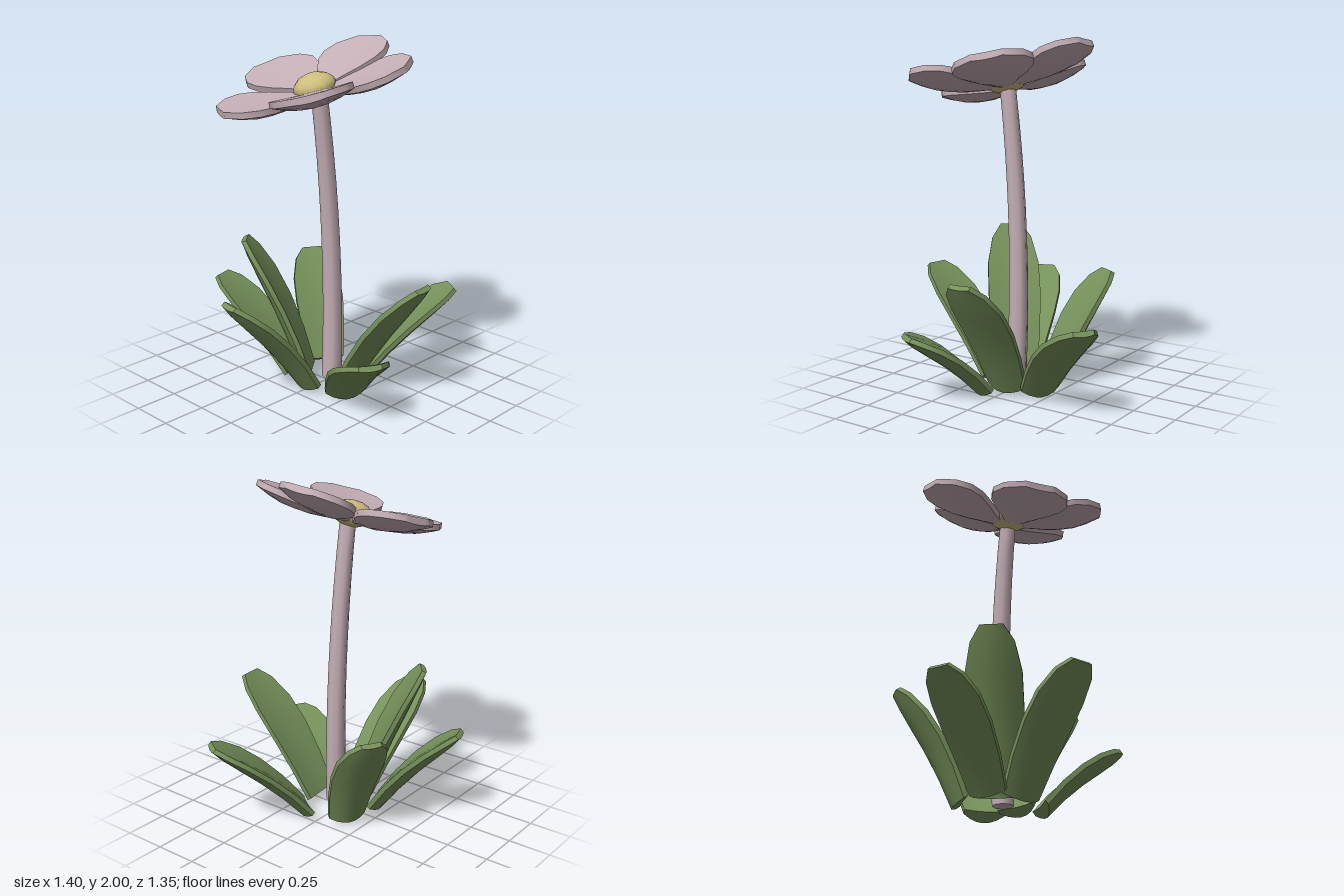
import * as THREE from 'three';
import { toCreasedNormals } from 'three/addons/utils/BufferGeometryUtils.js';

const pinkMat = new THREE.MeshStandardMaterial({ color: 0xc4aeb6 });
const greenMat = new THREE.MeshStandardMaterial({ color: 0x76915b });
const yellowMat = new THREE.MeshStandardMaterial({ color: 0xcdbd7c });
pinkMat.name = 'dusty pink';
greenMat.name = 'leaf green';
yellowMat.name = 'pollen yellow';

// Blade along +x: rows of [distance, half width, belly], nearly flat on top (edges
// raised by cup), with a rim and a rounded underside; arch raises the middle.
function blade(rows, { rim, cup, arch }) {
  const cols = 6, last = rows.length - 1, pos = [];
  const maxW = Math.max(...rows.map((r) => r[1]));
  const length = rows[last][0];
  const point = (i, j, bottom) => {
    const [x, w, belly] = rows[i];
    const v = 2 * j / cols - 1;
    const mid = 4 * (x / length) * (1 - x / length);
    const drop = bottom ? rim + belly * (1 - v * v) : 0;
    return [x, arch * mid + cup * (v * w / maxW) ** 2 - drop, v * w];
  };
  const quad = (a, b, c, d) => pos.push(...a, ...b, ...c, ...a, ...c, ...d);
  for (let i = 0; i < last; i++) {
    for (let j = 0; j < cols; j++) {
      quad(point(i, j), point(i, j + 1), point(i + 1, j + 1), point(i + 1, j));
      quad(point(i, j, true), point(i + 1, j, true), point(i + 1, j + 1, true), point(i, j + 1, true));
    }
  }
  // rim around the outline
  const edge = [];
  for (let j = 0; j < cols; j++) edge.push([0, j]);
  for (let i = 0; i < last; i++) edge.push([i, cols]);
  for (let j = cols; j > 0; j--) edge.push([last, j]);
  for (let i = last; i > 0; i--) edge.push([i, 0]);
  edge.forEach(([i, j], k) => {
    const [m, n] = edge[(k + 1) % edge.length];
    quad(point(i, j), point(i, j, true), point(m, n, true), point(m, n));
  });
  const geo = new THREE.BufferGeometry();
  geo.setAttribute('position', new THREE.Float32BufferAttribute(pos, 3));
  return toCreasedNormals(geo, 0.75);
}

// Leaf from base to tip, arching outwards, flat side up.
function makeLeaf(base, tip, width) {
  const from = new THREE.Vector3(...base);
  const along = new THREE.Vector3(...tip).sub(from);
  const length = along.length();
  along.normalize();
  const side = along.clone().cross(new THREE.Vector3(0, 1, 0)).normalize();
  const up = side.clone().cross(along);
  const rows = [
    [0, 0.38, 0.04], [0.25, 0.45, 0.045], [0.5, 0.5, 0.045],
    [0.72, 0.49, 0.04], [0.9, 0.38, 0.025], [1, 0.2, 0.005],
  ].map(([t, w, belly]) => [t * length, w * width, belly]);
  const geo = blade(rows, { rim: 0.028, cup: 0.015, arch: 0.035 });
  geo.translate(0, 0.02, 0);
  geo.applyMatrix4(new THREE.Matrix4().makeBasis(along, up, side).setPosition(from));
  return new THREE.Mesh(geo, greenMat);
}

export function createModel() {
  const model = new THREE.Group();
  model.name = 'flower plant';

  // Rosette of leaves: base, tip, width
  const leaves = new THREE.Group();
  leaves.name = 'leaves';
  [
    [[0.21, 0.045, 0.1], [0.67, 0.51, 0.4], 0.3],
    [[0.02, 0.045, 0.16], [0.07, 0.72, 0.66], 0.31],
    [[-0.09, 0.04, 0.24], [-0.32, 0.38, 0.63], 0.32],
    [[-0.17, 0.045, 0], [-0.68, 0.63, -0.08], 0.3],
    [[-0.1, 0.045, -0.18], [-0.24, 0.56, -0.66], 0.28],
    [[-0.07, 0.05, -0.08], [-0.31, 0.87, -0.36], 0.31],
    [[0.14, 0.045, -0.15], [0.33, 0.64, -0.46], 0.29],
  ].forEach((args, i) => {
    const leaf = makeLeaf(...args);
    leaf.name = 'leaf' + (i + 1);
    leaves.add(leaf);
  });
  model.add(leaves);

  // Tapered stem, bent to the side near the top
  const stemGeo = new THREE.CylinderGeometry(0.046, 0.059, 1.69, 8, 10);
  stemGeo.translate(0, 0.885, 0);
  const p = stemGeo.attributes.position;
  for (let i = 0; i < p.count; i++) {
    const y = p.getY(i);
    p.setX(i, p.getX(i) + 0.015 - 0.085 * ((y - 0.5) / 1.22) ** 2);
    p.setZ(i, p.getZ(i) + 0.038 - 0.016 * y);
  }
  stemGeo.computeVertexNormals();
  const stem = new THREE.Mesh(toCreasedNormals(stemGeo, 1), pinkMat);
  stem.name = 'stem';
  model.add(stem);

  // Tilted flower head
  const head = new THREE.Group();
  head.name = 'flowerHead';
  head.position.set(-0.085, 1.74, 0.005);
  head.rotation.set(-0.1, 0, 0.26);
  model.add(head);

  // Petals: heading around the head and upward lift, in radians
  const petalRows = [
    [0.05, 0.03, 0], [0.14, 0.09, 0.02], [0.22, 0.155, 0.035], [0.3, 0.205, 0.04],
    [0.38, 0.22, 0.04], [0.465, 0.185, 0.025], [0.54, 0.085, 0.005],
  ];
  const petalGeo = blade(petalRows, { rim: 0.034, cup: 0.01, arch: 0 });
  [[-0.05, 0.23], [1.13, 0.15], [2.4, 0.26], [3.62, 0.15], [4.99, 0.2]].forEach(([heading, lift], i) => {
    const petal = new THREE.Mesh(petalGeo, pinkMat);
    petal.name = 'petal' + (i + 1);
    petal.rotation.set(0, -heading, lift, 'YXZ');
    head.add(petal);
  });

  // Domed centre
  const centre = new THREE.Mesh(new THREE.SphereGeometry(0.12, 10, 8), yellowMat);
  centre.name = 'centre';
  centre.scale.y = 0.62;
  centre.position.set(0, 0.025, -0.005);
  head.add(centre);

  return model;
}
